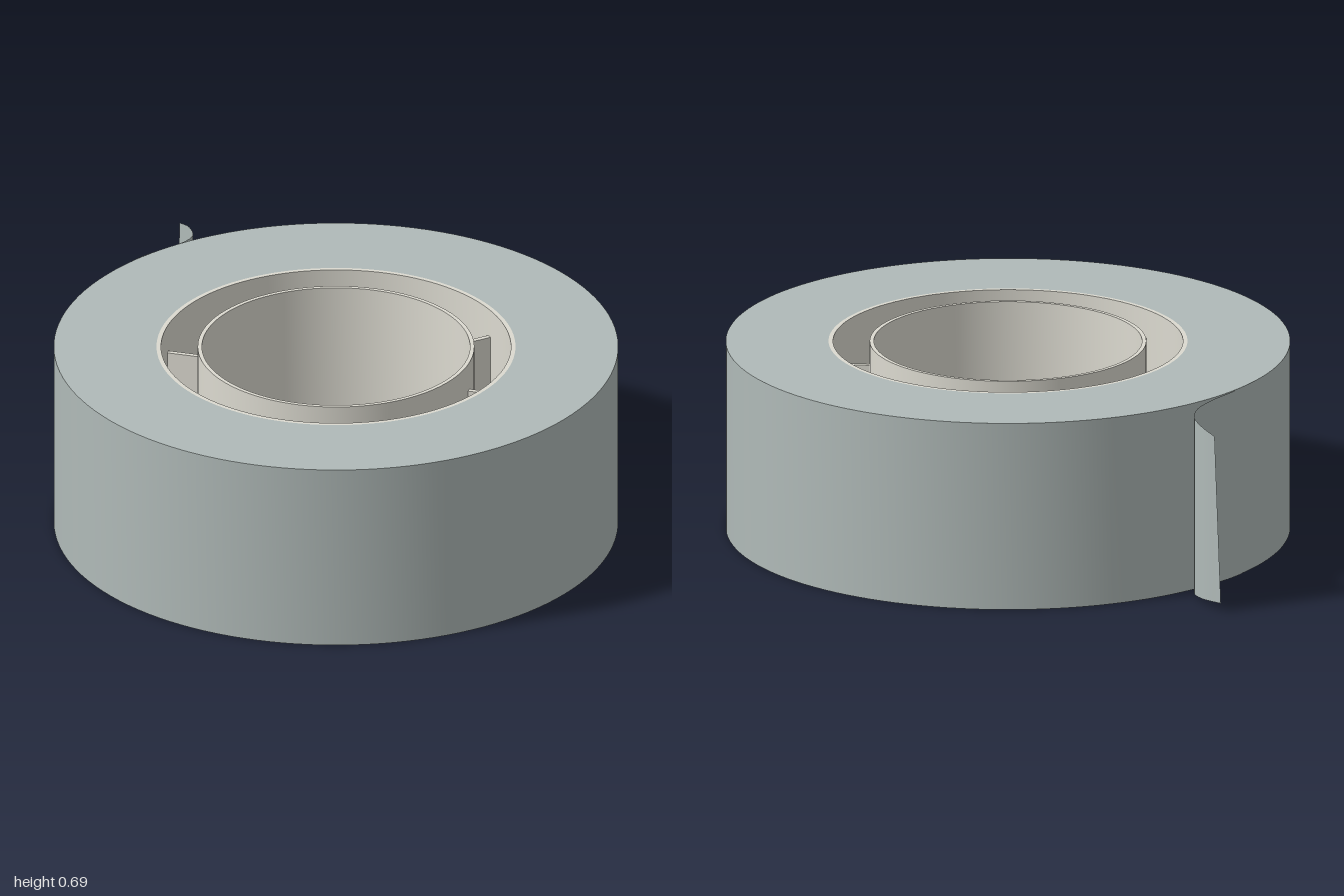
import * as THREE from 'three';
import { toCreasedNormals } from 'three/addons/utils/BufferGeometryUtils.js';

const HEIGHT = 0.69;
const SEGMENTS = 128;

const tapeMaterial = new THREE.MeshStandardMaterial({ color: 0xb0bab8 });
const coreMaterial = new THREE.MeshStandardMaterial({ color: 0xdcdad0 });
const flapMaterial = new THREE.MeshStandardMaterial({ color: 0xb0bab8, side: THREE.DoubleSide });

// Revolves a closed counterclockwise [radius, y] profile, keeping its edges sharp
function revolve(name, profile, material) {
  const points = [...profile, profile[0]].map(([r, y]) => new THREE.Vector2(r, y));
  const geometry = toCreasedNormals(new THREE.LatheGeometry(points, SEGMENTS), 0.5);
  const mesh = new THREE.Mesh(geometry, material);
  mesh.name = name;
  return mesh;
}

// Loose end of the tape: a thin sheet swept between a lower and an upper edge curve
function buildFlap() {
  const curve = (tipX, tipZ) => new THREE.CatmullRomCurve3([
    [-0.888, -0.464], [-0.85, -0.535], [-0.797, -0.615], [-0.756, -0.7],
    [-0.752, -0.77], [-0.793, -0.855], [tipX, tipZ],
  ].map(([x, z]) => new THREE.Vector3(x, 0, z)));
  const lower = curve(-0.865, -0.93);
  const upper = curve(-0.84, -0.905);

  const along = 32, across = 8;
  const geometry = new THREE.PlaneGeometry(1, 1, along, across);
  const position = geometry.attributes.position;
  const p = new THREE.Vector3();
  for (let i = 0; i < position.count; i++) {
    const t = position.getX(i) + 0.5;
    const v = position.getY(i) + 0.5;
    p.lerpVectors(lower.getPoint(t), upper.getPoint(t), v);
    // the free end narrows slightly as it curls
    const bottom = 0.03 * t * t;
    const top = HEIGHT - 0.05 * t * t;
    position.setXYZ(i, p.x, THREE.MathUtils.lerp(bottom, top, v), p.z);
  }
  geometry.computeVertexNormals();
  const mesh = new THREE.Mesh(geometry, flapMaterial);
  mesh.name = 'looseTapeEnd';
  return mesh;
}

export function createModel() {
  const model = new THREE.Group();
  model.name = 'tapeRoll';

  // Wound tape
  model.add(revolve('woundTape', [
    [0.636, 0], [1, 0], [1, HEIGHT], [0.636, HEIGHT],
  ], tapeMaterial));

  // Core: outer and inner sleeves joined by a thin web at mid height
  const core = new THREE.Group();
  core.name = 'core';
  const webLow = 0.33, webHigh = 0.36;
  core.add(revolve('coreSleeves', [
    [0.475, 0], [0.49, 0], [0.49, webLow], [0.62, webLow], [0.62, 0], [0.636, 0],
    [0.636, HEIGHT], [0.62, HEIGHT], [0.62, webHigh], [0.49, webHigh],
    [0.49, HEIGHT], [0.475, HEIGHT],
  ], coreMaterial));

  // Eight radial ribs between the sleeves
  const ribGeometry = new THREE.BoxGeometry(0.14, 0.48, 0.018);
  ribGeometry.translate(0.555, HEIGHT / 2, 0);
  for (let i = 0; i < 8; i++) {
    const rib = new THREE.Mesh(ribGeometry, coreMaterial);
    rib.name = `coreRib${i + 1}`;
    rib.rotation.y = (i * Math.PI) / 4;
    core.add(rib);
  }
  model.add(core);

  model.add(buildFlap());
  return model;
}
